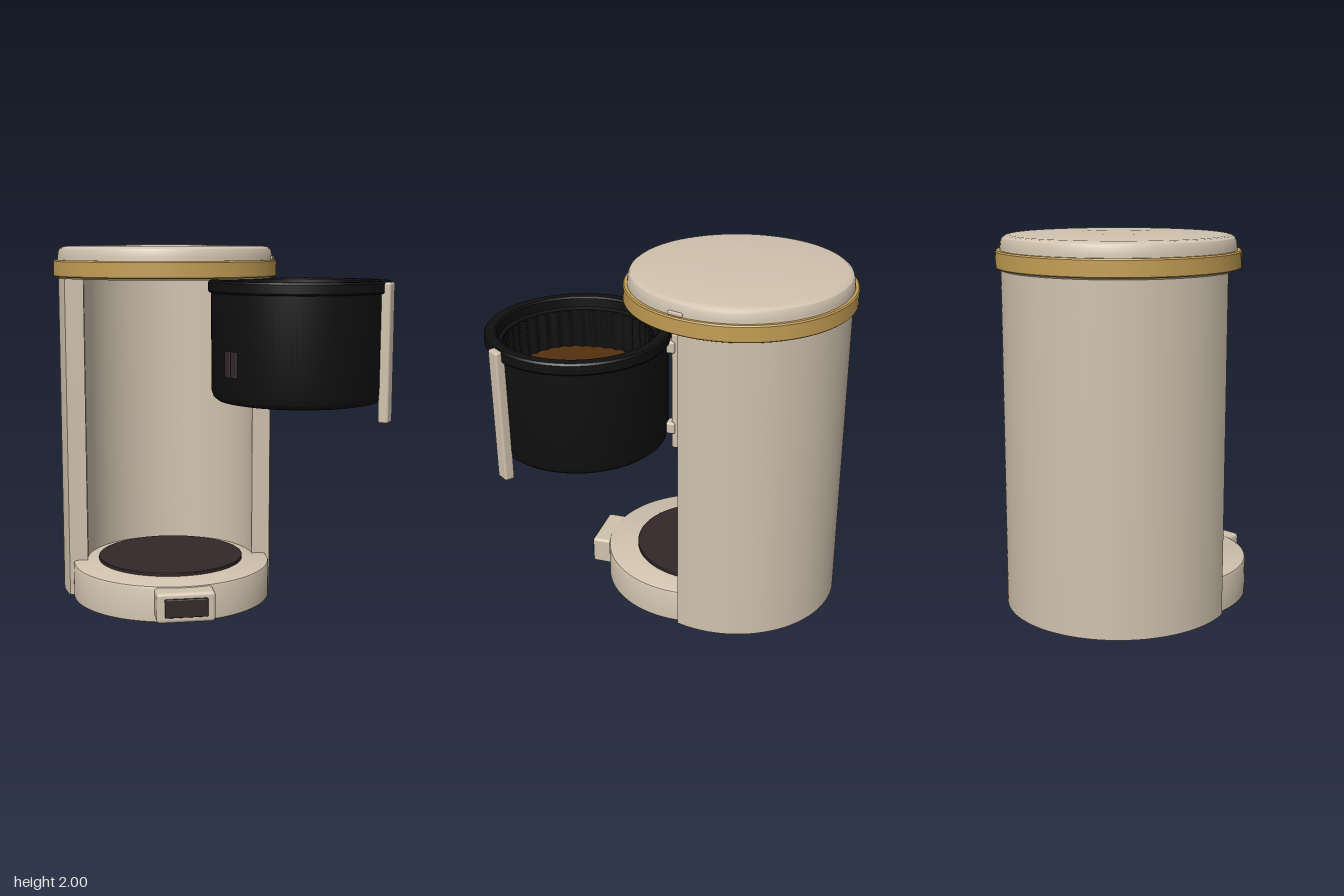
import * as THREE from 'three';
import { toCreasedNormals } from 'three/addons/utils/BufferGeometryUtils.js';
import { RoundedBoxGeometry } from 'three/addons/geometries/RoundedBoxGeometry.js';

const mat = (name, color, side = THREE.FrontSide) =>
  Object.assign(new THREE.MeshStandardMaterial({ color, side }), { name });

export function createModel() {
  const cream = mat('cream enamel', 0xd0c2ae);
  const gold = mat('brass', 0xc49e54);
  const black = mat('black plastic', 0x101010, THREE.DoubleSide);
  const dark = mat('dark brown', 0x33282a);
  const coffee = mat('ground coffee', 0x54300f);

  const model = new THREE.Group();
  model.name = 'coffeeMaker';

  const add = (parent, name, geometry, material, x = 0, y = 0, z = 0, turn = 0) => {
    const mesh = new THREE.Mesh(geometry, material);
    mesh.name = name;
    mesh.position.set(x, y, z);
    mesh.rotation.y = turn;
    parent.add(mesh);
    return mesh;
  };
  // profiles run from the bottom axis outward and up
  const lathe = (points, segments = 96) =>
    toCreasedNormals(new THREE.LatheGeometry(points.map(p => new THREE.Vector2(...p)), segments), 0.5);
  const box = (w, h, d, r) => new RoundedBoxGeometry(w, h, d, 3, r);

  const CX = -0.237, CZ = -0.275; // axis of the body and lid

  // upright body: round column cut flat in front, with a round bay for the jug
  const R = 0.613, cut = 0.185, bay = 0.48;
  const a = Math.asin(cut / R);
  const plan = new THREE.Shape();
  plan.absarc(0, 0, R, -a, Math.PI + a, false);
  plan.absarc(0, -cut, bay, Math.PI, 0, true);
  plan.closePath();
  const bodyGeo = new THREE.ExtrudeGeometry(plan, { depth: 1.82, bevelEnabled: false, curveSegments: 64 });
  bodyGeo.rotateX(-Math.PI / 2);
  add(model, 'body', toCreasedNormals(bodyGeo, 0.4), cream, CX, 0, CZ);

  // base and warming plate
  add(model, 'base', lathe([[0, 0], [0.56, 0], [0.563, 0.004], [0.563, 0.185], [0.558, 0.196],
    [0.546, 0.202], [0, 0.202]]), cream, CX, 0, -0.063);
  add(model, 'warmingPlate', lathe([[0, 0.2], [0.415, 0.2], [0.415, 0.217], [0.411, 0.22], [0, 0.22]]),
    dark, CX, 0, -0.095);

  // switch housing on the front of the base
  add(model, 'switchHousing', box(0.315, 0.165, 0.16, 0.02), cream, CX, 0.108, 0.51);
  add(model, 'switch', box(0.23, 0.1, 0.03, 0.006), dark, CX, 0.11, 0.591);

  // lid with brass band
  add(model, 'lidUnderside', lathe([[0, 1.812], [0.615, 1.812], [0.625, 1.822], [0, 1.822]]), cream, CX, 0, CZ);
  add(model, 'brassBand', lathe([[0, 1.82], [0.634, 1.82], [0.64, 1.826], [0.64, 1.906],
    [0.634, 1.914], [0, 1.914]]), gold, CX, 0, CZ);
  add(model, 'lid', lathe([[0, 1.91], [0.618, 1.91], [0.616, 1.93], [0.612, 1.96], [0.604, 1.977],
    [0.59, 1.987], [0.57, 1.991], [0.2, 1.999], [0, 2.0]]), cream, CX, 0, CZ);
  add(model, 'lidTab', box(0.03, 0.022, 0.09, 0.008), cream, 0.343, 1.925, -0.08, -0.33);

  // hinge strip on the right-hand pillar, with two knuckles
  add(model, 'hingeStrip', box(0.075, 0.66, 0.05, 0.012), cream, 0.3, 1.48, -0.08);
  for (const y of [1.735, 1.27])
    add(model, 'hingeKnuckle', box(0.07, 0.065, 0.05, 0.012), cream, 0.315, y, -0.05);

  // swung-out filter basket
  const basket = new THREE.Group();
  basket.name = 'filterBasket';
  basket.position.set(0.39, 0, 0.43);
  model.add(basket);
  add(basket, 'basketShell', lathe([[0, 1.18], [0.4, 1.18], [0.43, 1.186], [0.452, 1.205], [0.463, 1.24],
    [0.465, 1.75], [0.474, 1.752], [0.48, 1.76], [0.48, 1.805], [0.472, 1.815], [0.425, 1.815],
    [0.415, 1.807], [0.412, 1.76], [0.392, 1.752], [0.392, 1.5], [0, 1.5]]), black);

  // fluted filter liner
  const liner = new THREE.CylinderGeometry(0.38, 0.38, 0.24, 216, 1, true);
  const p = liner.attributes.position;
  for (let i = 0; i < p.count; i++) {
    const t = Math.atan2(p.getZ(i), p.getX(i));
    const r = 0.388 - 0.018 * Math.pow(Math.abs(Math.cos(18 * t)), 3);
    p.setXYZ(i, r * Math.cos(t), p.getY(i), r * Math.sin(t));
  }
  liner.computeVertexNormals();
  add(basket, 'filterLiner', liner, black, 0, 1.632);

  // slightly uneven coffee bed
  const bed = new THREE.RingGeometry(0.001, 0.383, 72, 8).rotateX(-Math.PI / 2);
  const b = bed.attributes.position;
  for (let i = 0; i < b.count; i++)
    b.setY(i, 0.006 * Math.sin(9 * b.getX(i) + 1) * Math.cos(11 * b.getZ(i)));
  bed.computeVertexNormals();
  add(basket, 'coffeeBed', bed, coffee, 0, 1.54);

  // drip spout
  add(basket, 'spout', lathe([[0, 1.14], [0.058, 1.14], [0.067, 1.149], [0.067, 1.185], [0, 1.185]], 32),
    dark, 0, 0, 0.007);

  // handle and latch sit on the wall at an angle from +x towards +z
  const onWall = (name, geo, material, angle, radius, y) =>
    add(basket, name, geo, material, radius * Math.cos(angle), y, radius * Math.sin(angle), -angle);
  onWall('handle', box(0.055, 0.72, 0.08, 0.012), cream, 0.615, 0.482, 1.45);
  for (const side of [-1, 1])
    onWall('latchPlate', box(0.012, 0.135, 0.046, 0.005), dark, 2.63 + side * 0.053, 0.465, 1.395);

  return model;
}
